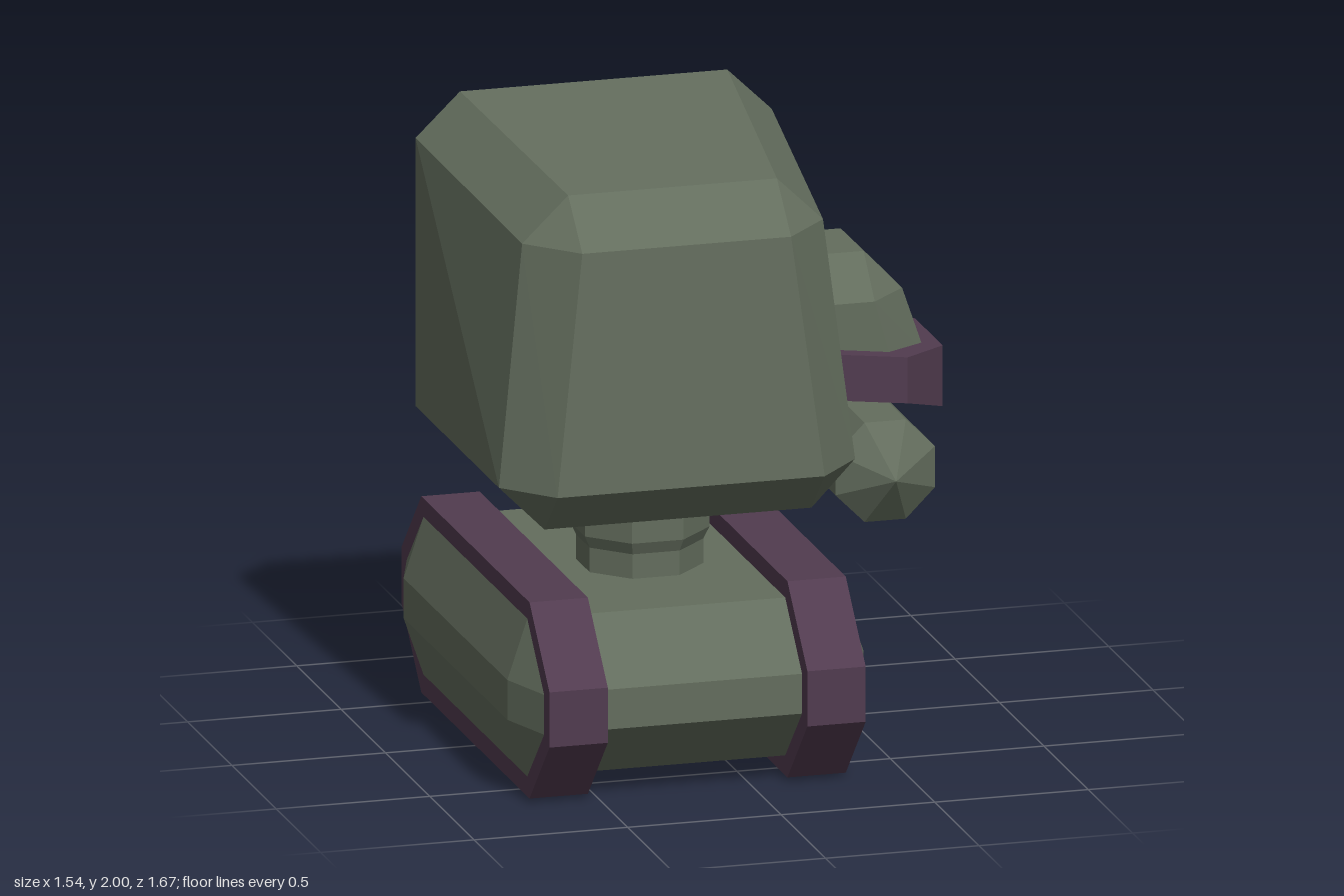
import * as THREE from 'three';
import { mergeGeometries } from 'three/addons/utils/BufferGeometryUtils.js';
import { ConvexGeometry } from 'three/addons/geometries/ConvexGeometry.js';

const CX = -0.192; // middle of head, neck and hull
const V = (x, y, z) => new THREE.Vector3(x, y, z);

// Faceted normals
function flat(geo) {
  const g = geo.index ? geo.toNonIndexed() : geo;
  g.computeVertexNormals();
  return g;
}

// Eight-sided turned part with flats facing the axes; profile is [apothem, height]
function turned(profile) {
  const k = 1 / Math.cos(Math.PI / 8);
  return new THREE.LatheGeometry(profile.map(([r, h]) => new THREE.Vector2(r * k, h)), 8, Math.PI / 8);
}

// Mirrored octagon ring from four [half width, y, z] points, bottom to top
function ring(half) {
  const right = half.map(([x, y, z]) => V(x, y, z));
  const left = half.map(([x, y, z]) => V(-x, y, z)).reverse();
  return [...right, ...left];
}

// Skin between successive rings, last ring capped
function loft(rings) {
  const out = [];
  const tri = (a, b, c) => {
    const area = b.clone().sub(a).cross(c.clone().sub(a)).length();
    if (area > 1e-6) for (const p of [a, b, c]) out.push(p.x, p.y, p.z);
  };
  for (let r = 0; r < rings.length - 1; r++) {
    const a = rings[r], b = rings[r + 1];
    for (let i = 0; i < a.length; i++) {
      const j = (i + 1) % a.length;
      tri(a[i], a[j], b[j]);
      tri(a[i], b[j], b[i]);
    }
  }
  const cap = rings[rings.length - 1];
  for (let i = 1; i < cap.length - 1; i++) tri(cap[0], cap[i], cap[i + 1]);
  const g = new THREE.BufferGeometry();
  g.setAttribute('position', new THREE.Float32BufferAttribute(out, 3));
  return g;
}

// Pixel strokes of the screen portrait: [thickness in cells, [u, v] percent points]
const STROKES = [
  [3, [[24, 30], [25, 20], [32, 10], [42, 4], [55, 4], [66, 8], [74, 18], [76, 30]]],
  [2, [[30, 26], [34, 17], [46, 11], [60, 11], [68, 20], [70, 30]]],
  [1, [[13, 44], [13, 53]]], [1, [[21, 32], [19, 48]]],
  [2, [[19, 55], [25, 63], [28, 70], [32, 82], [40, 91]]],
  [1, [[40, 92], [60, 92]]], [2, [[60, 91], [68, 82], [73, 66], [77, 48]]],
  [1, [[84, 40], [84, 52]]], [1, [[77, 30], [79, 46]]],
  [2, [[30, 39], [42, 39]]], [2, [[54, 37], [70, 37]]],
  [2, [[32, 47], [43, 46]]], [2, [[56, 46], [69, 45]]],
  [1, [[48, 42], [47, 54], [45, 62], [54, 62]]],
  [2, [[42, 74], [50, 71], [57, 74]]], [1, [[45, 80], [54, 80]]],
  [1, [[36, 54], [36, 66]]], [1, [[64, 54], [64, 64]]],
  [2, [[31, 78], [31, 93], [26, 97]]], [2, [[68, 78], [68, 93], [74, 97]]],
];

function portrait(width, height) {
  const cols = 44, cell = width / cols, rows = Math.round(height / cell);
  const cells = new Set();
  for (const [thick, pts] of STROKES) {
    for (let s = 0; s < pts.length - 1; s++) {
      for (let t = 0; t <= 1; t += 0.02) {
        const u = THREE.MathUtils.lerp(pts[s][0], pts[s + 1][0], t) / 100;
        const v = THREE.MathUtils.lerp(pts[s][1], pts[s + 1][1], t) / 100;
        const c = Math.floor(u * cols), r = Math.floor(v * rows);
        for (let i = 0; i < thick; i++)
          for (let j = 0; j < thick; j++) cells.add((c + i) + rows * 10 * Math.min(r + j, rows - 1));
      }
    }
  }
  return mergeGeometries([...cells].map((id) => {
    const c = id % (rows * 10), r = Math.floor(id / (rows * 10));
    return new THREE.BoxGeometry(cell, cell, 0.006)
      .translate(width / 2 - (c + 0.5) * cell, height / 2 - (r + 0.5) * cell, 0);
  }));
}

export function createModel() {
  const model = new THREE.Group();
  const material = (name, color) => Object.assign(new THREE.MeshStandardMaterial({ color }), { name });
  const shell = material('grey green shell', 0x636d5d);
  const trim = material('dark purple trim', 0x513b4f);
  const display = material('teal display', 0x558689);
  const add = (name, geo, mat, x = 0, y = 0, z = 0) => {
    const mesh = new THREE.Mesh(flat(geo), mat);
    mesh.name = name;
    mesh.position.set(x, y, z);
    model.add(mesh);
    return mesh;
  };

  // Monitor head: recessed bezel, rim, tapered casing, front panel
  const lo = 0.985, hi = 1.86, sw = 0.44, sz = -0.35;
  add('head', loft([
    ring([[sw, lo, sz], [sw, lo, sz], [sw, hi, sz], [sw, hi, sz]]),
    ring([[0.435, 0.84, -0.45], [0.58, lo, -0.45], [0.58, hi, -0.45], [0.435, 2, -0.45]]),
    ring([[0.435, 0.84, 0.5], [0.58, lo, 0.49], [0.49, 1.76, 0.44], [0.34, 1.905, 0.44]]),
    ring([[0.435, lo, 0.65], [0.435, lo, 0.65], [0.34, 1.76, 0.6], [0.34, 1.76, 0.6]]),
  ]), shell, CX);
  add('screen', new THREE.PlaneGeometry(sw * 2, hi - lo).rotateY(Math.PI), display, CX, (lo + hi) / 2, sz);
  add('screenPortrait', portrait(sw * 2, hi - lo), trim, CX, (lo + hi) / 2, sz - 0.003);

  // Neck with a raised collar
  add('neck', turned([[0.185, 0.55], [0.185, 0.66], [0.203, 0.7], [0.203, 0.775],
    [0.185, 0.775], [0.205, 0.86]]), shell, CX, 0, 0.07);

  // Hull with bulging sides
  const hull = [];
  for (const sx of [-1, 1]) for (const sz2 of [-1, 1]) {
    for (const [z, y] of [[0.585, 0.58], [0.775, 0.385], [0.775, 0.255], [0.585, 0.065]])
      hull.push(V(sx * 0.515, y, sz2 * z));
    for (const y of [0.255, 0.385]) hull.push(V(sx * 0.58, y, sz2 * 0.585));
  }
  add('hull', new ConvexGeometry(hull), shell, CX);

  // Tracks
  const side = [[0.61, 0], [0.835, 0.23], [0.835, 0.41], [0.61, 0.64]];
  for (const [name, x0] of [['leftTrack', 0.325], ['rightTrack', -0.515]]) {
    const pts = [];
    for (const sz2 of [-1, 1]) for (const [z, y] of side)
      for (const x of [x0, x0 + 0.19]) pts.push(V(x, y, sz2 * z));
    add(name, new ConvexGeometry(pts), trim, CX);
  }

  // Shoulder dome
  const dome = [];
  for (const s of [-1, 1]) {
    for (const [x, y, z] of [[0.34, 1.2, 0.26], [0.58, 1.2, 0.26], [0.72, 1.2, 0.13],
      [0.34, 1.42, 0.255], [0.52, 1.42, 0.255], [0.645, 1.42, 0.13],
      [0.34, 1.55, 0.13], [0.52, 1.55, 0.13]]) dome.push(V(x, y, s * z));
  }
  add('shoulderDome', new ConvexGeometry(dome), shell);

  // Shoulder rim: half-octagon plate drooping outward
  const plan = new THREE.Shape([[0.34, -0.315], [0.61, -0.315], [0.77, -0.155], [0.77, 0.155],
    [0.61, 0.315], [0.34, 0.315]].map(([x, z]) => new THREE.Vector2(x, z)));
  const rim = new THREE.ExtrudeGeometry(plan, { depth: 1, bevelEnabled: false }).rotateX(Math.PI / 2);
  const p = rim.attributes.position;
  for (let i = 0; i < p.count; i++) {
    const x = p.getX(i);
    const top = 1.28 - 0.12 * (x - 0.34);
    const bottom = x > 0.7 ? 1.03 : 1.13 - 0.12 * (x - 0.34);
    p.setY(i, p.getY(i) > -0.5 ? top : bottom);
  }
  add('shoulderRim', rim, trim);

  // Arm cannon: pointed front, coloured band, hollow rear with a muzzle rod
  const cannon = (name, profile, mat) =>
    add(name, turned(profile).rotateX(Math.PI / 2), mat, 0.515, 0.907, 0);
  cannon('forearm', [[0.162, -0.49], [0.162, 0.39], [0, 0.515]], shell);
  cannon('forearmBand', [[0.162, -0.59], [0.162, -0.49]], trim);
  cannon('muzzle', [[0, -0.777], [0.067, -0.777], [0.067, -0.55], [0.125, -0.55],
    [0.125, -0.643], [0.162, -0.643], [0.162, -0.59]], shell);

  return model;
}
